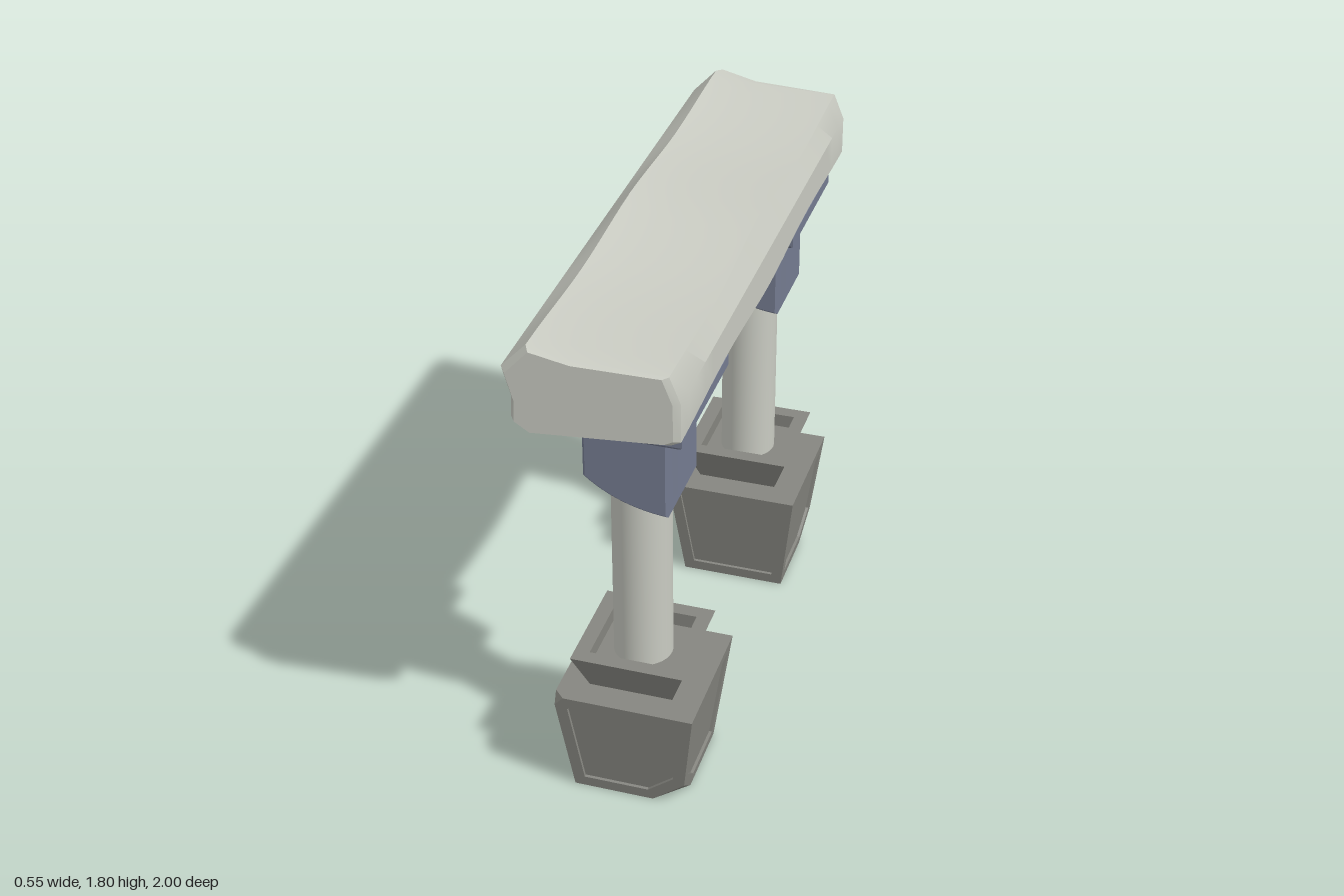
import * as THREE from 'three';
import { toCreasedNormals } from 'three/addons/utils/BufferGeometryUtils.js';

const V = (x, y, z) => new THREE.Vector3(x, y, z);
const stone = new THREE.MeshStandardMaterial({ color: 0xc9cbc2 });
const metal = new THREE.MeshStandardMaterial({ color: 0x757c91 });
const base = new THREE.MeshStandardMaterial({ color: 0x868680 });

function mesh(name, geometry, material) {
  const m = new THREE.Mesh(geometry, material);
  m.name = name;
  return m;
}

function fromTriangles(points) {
  const g = new THREE.BufferGeometry().setFromPoints(points);
  g.computeVertexNormals();
  return g;
}

// Adds a convex face turned away from `center`; with an inset it gets a sunken panel.
function addFace(out, corners, center, inset = 0, depth = 0) {
  let p = corners;
  const mid = p.reduce((s, v) => s.add(v), V(0, 0, 0)).divideScalar(p.length);
  const n = p[1].clone().sub(p[0]).cross(p[2].clone().sub(p[1])).normalize();
  if (n.dot(mid.sub(center)) < 0) {
    p = [...p].reverse();
    n.negate();
  }
  const fan = (q) => {
    for (let i = 1; i < q.length - 1; i++) out.push(q[0], q[i], q[i + 1]);
  };
  if (!inset) return fan(p);
  const k = p.length;
  const inward = p.map((v, i) => n.clone().cross(p[(i + 1) % k].clone().sub(v).normalize()));
  const rim = p.map((v, i) => {
    const a = inward[(i + k - 1) % k], b = inward[i];
    return v.clone().addScaledVector(a.clone().add(b), inset / (1 + a.dot(b)));
  });
  const floor = rim.map((v) => v.clone().addScaledVector(n, -depth));
  for (let i = 0; i < k; i++) {
    const j = (i + 1) % k;
    fan([p[i], p[j], rim[j], rim[i]]);
    fan([rim[i], rim[j], floor[j], floor[i]]);
  }
  fan(floor);
}

// Tapered foot with panelled sides, a cut lower corner and a nicked upper corner.
function footGeometry(s) {
  const at = (x, y, z) => V(x, y, z * s);
  const ring = (h, y) => [at(-h, y, h), at(h, y, h), at(h, y, -h), at(-h, y, -h)];
  const [t0, t1, t2, t3] = ring(0.235, 0.4);
  const [b0, b1, b2, b3] = ring(0.185, 0);
  const cutX = at(0.085, 0, 0.185), cutZ = at(0.185, 0, 0.085), cutY = b1.clone().lerp(t1, 0.24);
  const nickX = at(-0.2, 0.4, 0.235), nickZ = at(-0.235, 0.4, 0.2), nickY = t0.clone().lerp(b0, 0.09);
  const c = V(0, 0.2, 0), out = [];
  addFace(out, [b0, cutX, cutY, t1, nickX, nickY], c, 0.04, 0.01);
  addFace(out, [cutZ, b2, t2, t1, cutY], c, 0.04, 0.01);
  addFace(out, [b2, b3, t3, t2], c, 0.04, 0.01);
  addFace(out, [b3, b0, nickY, nickZ, t3], c, 0.04, 0.01);
  addFace(out, [cutX, cutZ, cutY], c);
  addFace(out, [nickX, nickY, nickZ], c);
  addFace(out, [nickX, t1, t2, t3, nickZ], c);
  addFace(out, [b0, cutX, cutZ, b2, b3], c);
  return fromTriangles(out);
}

// Flared collar with a sunken top around the pillar.
function collarGeometry() {
  const ring = (h, y) => [V(-h, y, h), V(h, y, h), V(h, y, -h), V(-h, y, -h)];
  const low = ring(0.14, 0.4), top = ring(0.188, 0.53);
  const c = V(0, 0.46, 0), out = [];
  for (let i = 0; i < 4; i++) {
    const j = (i + 1) % 4;
    addFace(out, [low[i], low[j], top[j], top[i]], c);
  }
  addFace(out, low, c);
  addFace(out, top, c, 0.05, 0.05);
  return fromTriangles(out);
}

function bevelExtrude(shape, depth, bevel) {
  const g = new THREE.ExtrudeGeometry(shape, {
    depth: depth - 2 * bevel, bevelThickness: bevel, bevelSize: bevel,
    bevelOffset: -bevel, bevelSegments: 1, curveSegments: 12,
  });
  return g.translate(0, 0, bevel - depth / 2);
}

function bevelBox(w, h, d, bevel) {
  const shape = new THREE.Shape([[-1, -1], [1, -1], [1, 1], [-1, 1]]
    .map(([x, y]) => new THREE.Vector2(x * w / 2, y * h / 2)));
  return bevelExtrude(shape, d, bevel);
}

// Bracket block with a curved underside.
function blockGeometry() {
  const s = new THREE.Shape();
  s.moveTo(-0.1, 1.47);
  s.lineTo(-0.1, 1.235);
  s.quadraticCurveTo(0.01, 1.14, 0.172, 1.13);
  s.lineTo(0.172, 1.47);
  return toCreasedNormals(bevelExtrude(s, 0.31, 0.008), 0.4);
}

// Worn beam: a cross-section carried along z with gentle waves, ends chamfered.
function beamGeometry() {
  const section = [
    [-0.25, 1.535], [-0.2, 1.502], [0.24, 1.527], [0.27, 1.542], [0.27, 1.67],
    [0.235, 1.757], [-0.06, 1.762], [-0.195, 1.79], [-0.275, 1.705], [-0.248, 1.61],
  ];
  const endZ = 0.968, steps = 24, rows = [];
  const wavy = ([x, y], z) => {
    const dip = 0.5 - 0.5 * Math.cos((Math.PI * 2 * z) / 0.968);
    const middle = Math.max(0, 1 - Math.abs(z) / 0.45);
    const up = y > 1.73 ? 1 : y < 1.56 ? -1 : 0;
    const dx = x > 0.2 && y > 1.73 ? -0.012 * middle : 0;
    return V(x + dx, y + up * (0.006 * middle - 0.016 * dip), z);
  };
  const cap = (s) => section.map(([x, y]) =>
    V(x * 0.92, 1.64 + (y - 1.64) * 0.955, s * (0.99 - 0.04 * x)));
  rows.push(cap(-1));
  for (let i = 0; i <= steps; i++) {
    const z = -endZ + (2 * endZ * i) / steps;
    rows.push(section.map((p) => wavy(p, z)));
  }
  rows.push(cap(1));
  const out = [], n = section.length;
  for (let r = 0; r < rows.length - 1; r++) {
    for (let i = 0; i < n; i++) {
      const j = (i + 1) % n, a = rows[r], b = rows[r + 1];
      out.push(a[i], a[j], b[j], a[i], b[j], b[i]);
    }
  }
  const first = rows[0], last = rows[rows.length - 1];
  for (let i = 0; i < n; i++) {
    const j = (i + 1) % n;
    out.push(V(0, 1.64, -0.99), first[j], first[i], V(0, 1.64, 0.99), last[i], last[j]);
  }
  return toCreasedNormals(fromTriangles(out), 0.4);
}

function createLeg(s) {
  const leg = new THREE.Group();
  leg.name = s > 0 ? 'frontLeg' : 'backLeg';
  const axisX = 0.036;
  const foot = mesh('foot', footGeometry(s), base);
  const collar = mesh('collar', collarGeometry(), base);
  const pillar = mesh('pillar', new THREE.CylinderGeometry(0.097, 0.097, 0.7, 32), stone);
  foot.position.x = collar.position.x = axisX;
  pillar.position.set(axisX, 0.8, 0);

  // Bracket between pillar and beam
  const bracket = new THREE.Group();
  bracket.name = 'bracket';
  const block = mesh('bracketBlock', blockGeometry(), metal);
  const plate = mesh('bracketPlate', bevelBox(0.42, 0.49, 0.066, 0.014).rotateX(Math.PI / 2), metal);
  plate.position.set(0.035, 1.478, 0);
  const panel = mesh('bracketPanel', bevelBox(0.215, 0.26, 0.04, 0.014).rotateY(Math.PI / 2), metal);
  panel.position.set(0.166, 1.3, 0);
  bracket.add(block, plate, panel);
  bracket.position.z = s * 0.008;

  leg.add(foot, collar, pillar, bracket);
  leg.position.z = s * 0.627;
  return leg;
}

export function createModel() {
  const model = new THREE.Group();
  model.name = 'beamOnTwoLegs';
  model.add(mesh('beam', beamGeometry(), stone), createLeg(1), createLeg(-1));
  return model;
}
